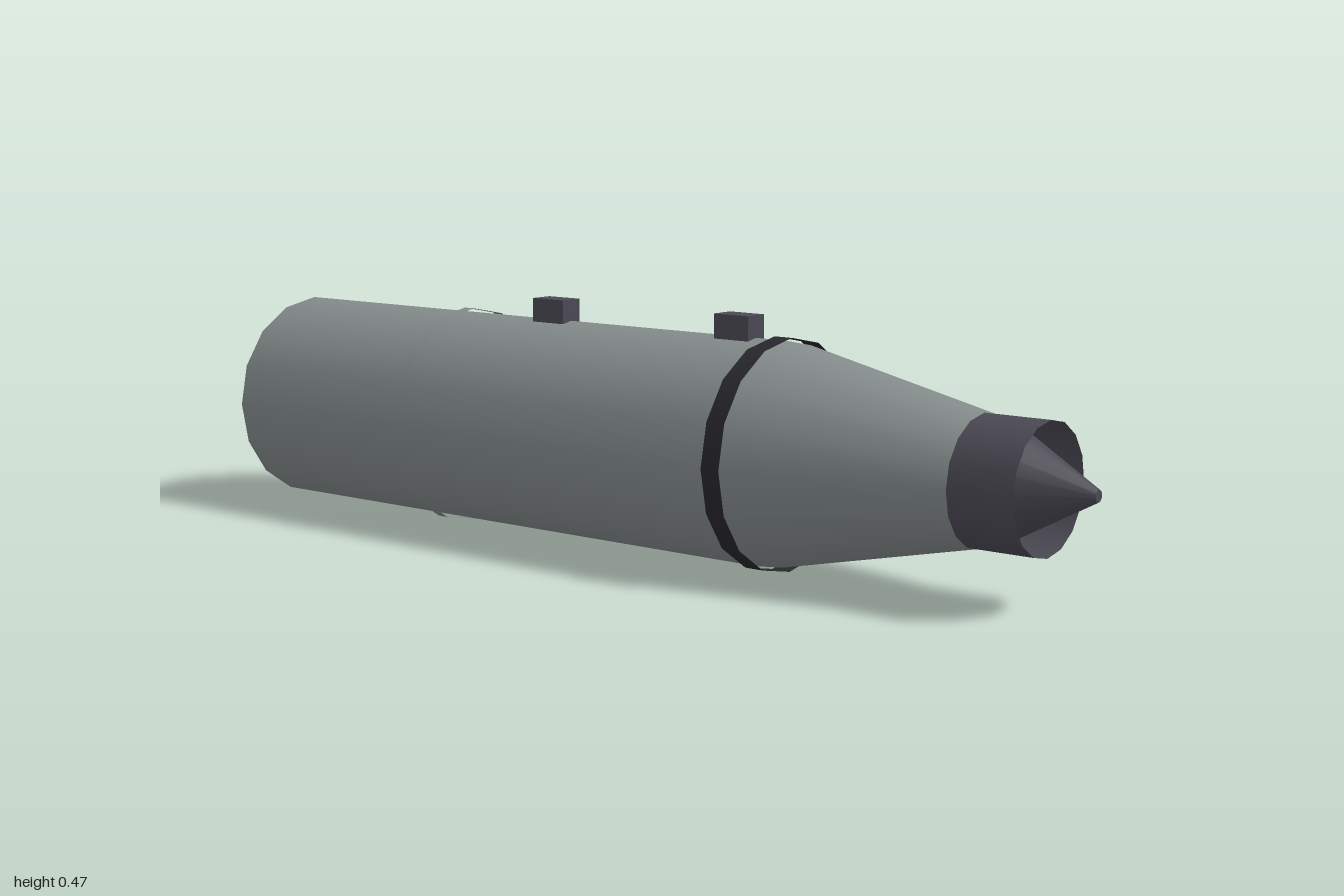
import * as THREE from 'three';

const SIDES = 16;
const AXIS_Y = 0.22;

export function createModel() {
  const model = new THREE.Group();
  const material = (name, color) => {
    const m = new THREE.MeshStandardMaterial({ color, side: THREE.DoubleSide });
    m.name = name;
    return m;
  };
  const hullGrey = material('hullGrey', 0x838a8a);
  const slate = material('slate', 0x4b4953);
  const charcoal = material('charcoal', 0x27272d);

  const add = (name, geometry, mat) => {
    const mesh = new THREE.Mesh(geometry, mat);
    mesh.name = name;
    model.add(mesh);
    return mesh;
  };

  // Round section along z, from the back radius to the front radius
  const section = (name, zBack, rBack, zFront, rFront, mat, open = true) => {
    const geometry = new THREE.CylinderGeometry(rFront, rBack, zFront - zBack, SIDES, 1, open);
    geometry.rotateX(Math.PI / 2);
    geometry.translate(0, AXIS_Y, (zBack + zFront) / 2);
    return add(name, geometry, mat);
  };

  // Hull with a shallow dished rear face
  section('body', -0.92, 0.213, 0.35, 0.213, hullGrey);
  section('rearDish', -0.92, 0.213, -0.905, 0.163, hullGrey);
  section('frontTaper', 0.35, 0.213, 0.78, 0.119, hullGrey);

  // Bands around the hull
  section('frontBand', 0.325, 0.219, 0.365, 0.219, charcoal);
  section('rearBand', -0.465, 0.22, -0.44, 0.22, hullGrey);

  // Nose: open collar around a pointed fuse
  section('noseCollar', 0.775, 0.12, 0.906, 0.12, slate);
  section('noseCone', 0.8, 0.119, 1, 0.011, slate, false);

  // Tail plug
  section('tailPlug', -1, 0.132, -0.9, 0.166, charcoal, false);

  // Suspension lugs on top
  for (const z of [0.243, -0.213]) {
    const lug = add('lug', new THREE.BoxGeometry(0.049, 0.075, 0.08), slate);
    lug.position.set(0, 0.4375, z);
  }

  return model;
}
